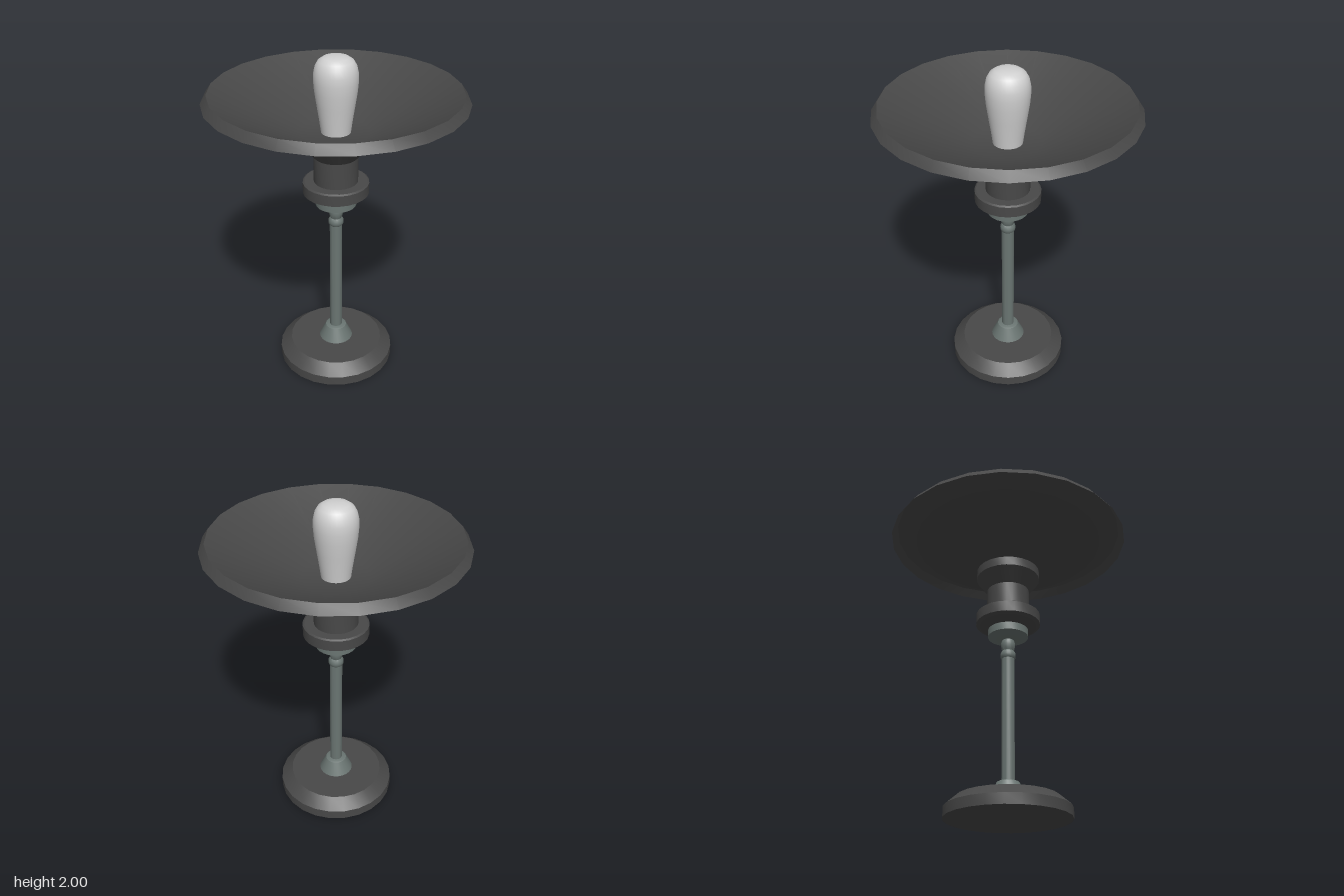
import * as THREE from 'three';
import { toCreasedNormals } from 'three/addons/utils/BufferGeometryUtils.js';

const SIDES = 24;

export function createModel() {
  const lamp = new THREE.Group();
  lamp.name = 'tableLamp';

  const material = (name, color, side = THREE.FrontSide) =>
    new THREE.MeshStandardMaterial({ name, color, side });
  const black = material('blackEnamel', 0x484848, THREE.DoubleSide);
  const metal = material('greyMetal', 0x6a7572);
  const glass = material('paleGlass', 0xd0d0d0);

  // Turned part from [radius, height] points, listed bottom to top
  function turned(name, profile, mat, crease = 0.5, sides = SIDES) {
    const points = profile.map(([r, y]) => new THREE.Vector2(r, y));
    const geometry = toCreasedNormals(new THREE.LatheGeometry(points, sides), crease);
    const mesh = new THREE.Mesh(geometry, mat);
    mesh.name = name;
    lamp.add(mesh);
  }

  // Foot with bevelled edge
  turned('base', [[0, 0], [0.36, 0], [0.36, 0.06], [0.29, 0.12], [0, 0.12]], black);
  turned('stemFoot', [[0.105, 0.12], [0.065, 0.205], [0.055, 0.21], [0, 0.21]], metal);

  // Stem, collar and ball joint
  turned('stem', [[0.038, 0.2], [0.038, 0.97]], metal);
  turned('collar', [[0.036, 0.955], [0.044, 0.965], [0.046, 0.98], [0.044, 0.995],
    [0.036, 1.008], [0, 1.008]], metal, 0.9);
  turned('joint', [[0.03, 1.0], [0.038, 1.02], [0.042, 1.04], [0.042, 1.06],
    [0.036, 1.08], [0.03, 1.1]], metal, 0.9);

  // Socket cup and the dark holder above it
  turned('socketCup', [[0, 1.075], [0.04, 1.078], [0.122, 1.102], [0.122, 1.15]], metal);
  turned('bulbHolder', [[0, 1.148], [0.122, 1.148], [0.195, 1.185], [0.195, 1.25], [0.185, 1.257],
    [0.13, 1.257], [0.13, 1.415], [0.195, 1.5], [0.195, 1.555], [0.185, 1.56]], black);

  // Thin open dish with a lip folded down and outwards
  turned('shade', [[0.74, 1.76], [0.705, 1.81], [0.195, 1.56], [0, 1.56]], black);

  // Bulb widening upwards to a rounded top
  turned('bulb', [[0, 1.562], [0.085, 1.562], [0.094, 1.63], [0.108, 1.72], [0.12, 1.8],
    [0.125, 1.86], [0.124, 1.905], [0.115, 1.945], [0.098, 1.974], [0.072, 1.992],
    [0.04, 1.999], [0, 2]], glass, 0.7, 32);

  return lamp;
}
